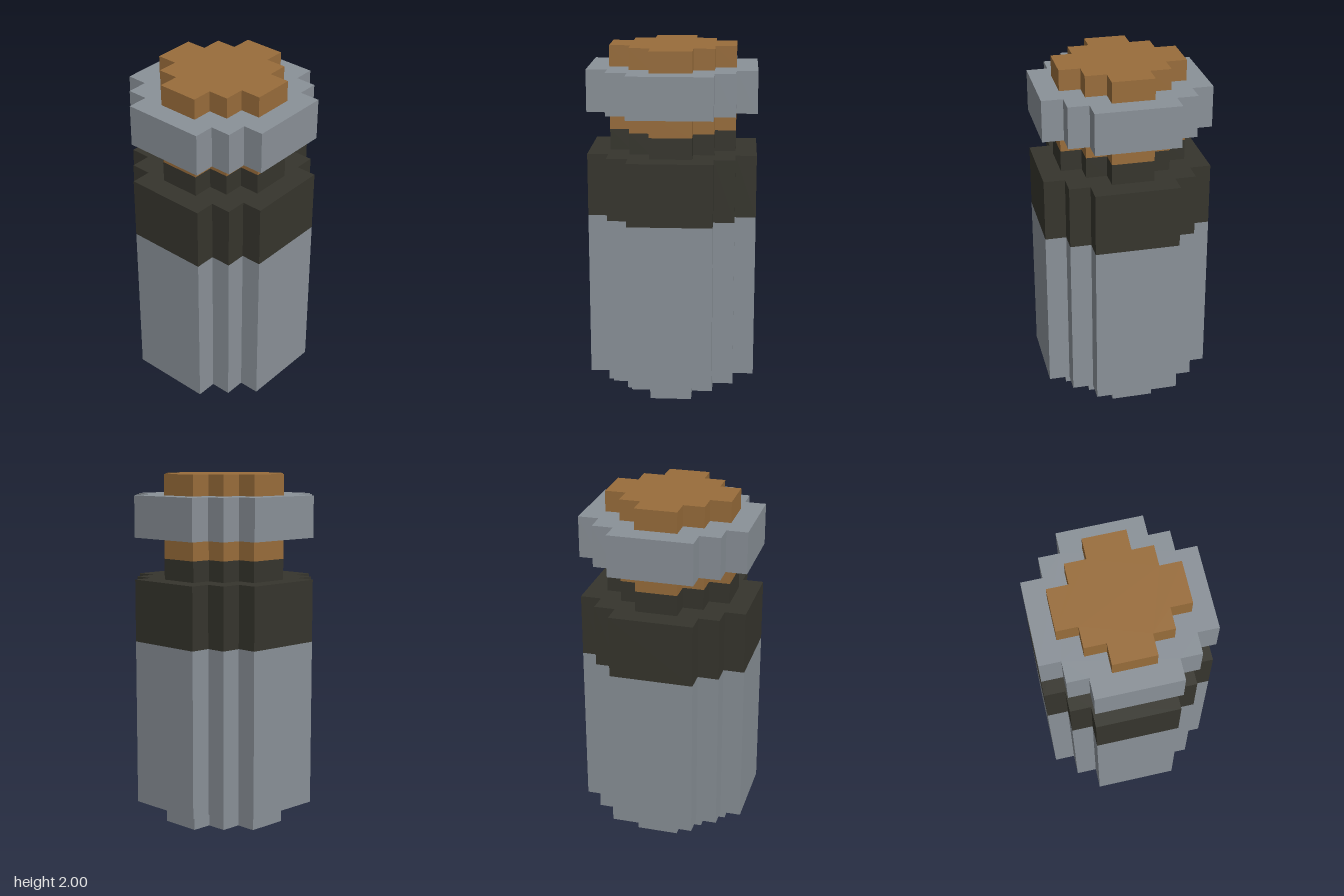
import * as THREE from 'three';

const U = 2 / 17; // one block; the jar is 17 blocks tall

// Stepped round outline; corners of one quadrant in blocks, turned four times
function steppedShape(quadrant) {
  const points = [];
  for (let q = 0; q < 4; q++) {
    for (const [x, y] of quadrant) {
      const [px, py] = [[x, y], [-y, x], [-x, -y], [y, -x]][q];
      points.push(new THREE.Vector2(px * U, py * U));
    }
  }
  return new THREE.Shape(points);
}

export function createModel() {
  const model = new THREE.Group();
  model.name = 'jar';

  const grey = new THREE.MeshStandardMaterial({ color: 0x8a9198 });
  grey.name = 'grey';
  const dark = new THREE.MeshStandardMaterial({ color: 0x36352d });
  dark.name = 'dark';
  const cork = new THREE.MeshStandardMaterial({ color: 0x996d3b });
  cork.name = 'corkBrown';

  const wide = steppedShape([[4, -2], [4, 2], [3, 2], [3, 3], [2, 3], [2, 4]]);
  const narrow = steppedShape([[3, -1], [3, 1], [2, 1], [2, 2], [1, 2], [1, 3]]);

  // Stacked layers: name, outline, bottom and top in blocks, material
  const layers = [
    ['foot', narrow, 0, 1, grey],
    ['body', wide, 1, 9, grey],
    ['shoulderBand', wide, 9, 12, dark],
    ['neckBand', narrow, 12, 13, dark],
    ['neckCork', narrow, 13, 14, cork],
    ['rim', wide, 14, 16, grey],
    ['stopper', narrow, 16, 17, cork],
  ];
  for (const [name, shape, bottom, top, material] of layers) {
    const geometry = new THREE.ExtrudeGeometry(shape, { depth: (top - bottom) * U, bevelEnabled: false });
    geometry.rotateX(-Math.PI / 2);
    const mesh = new THREE.Mesh(geometry, material);
    mesh.name = name;
    mesh.position.y = bottom * U;
    model.add(mesh);
  }
  return model;
}
